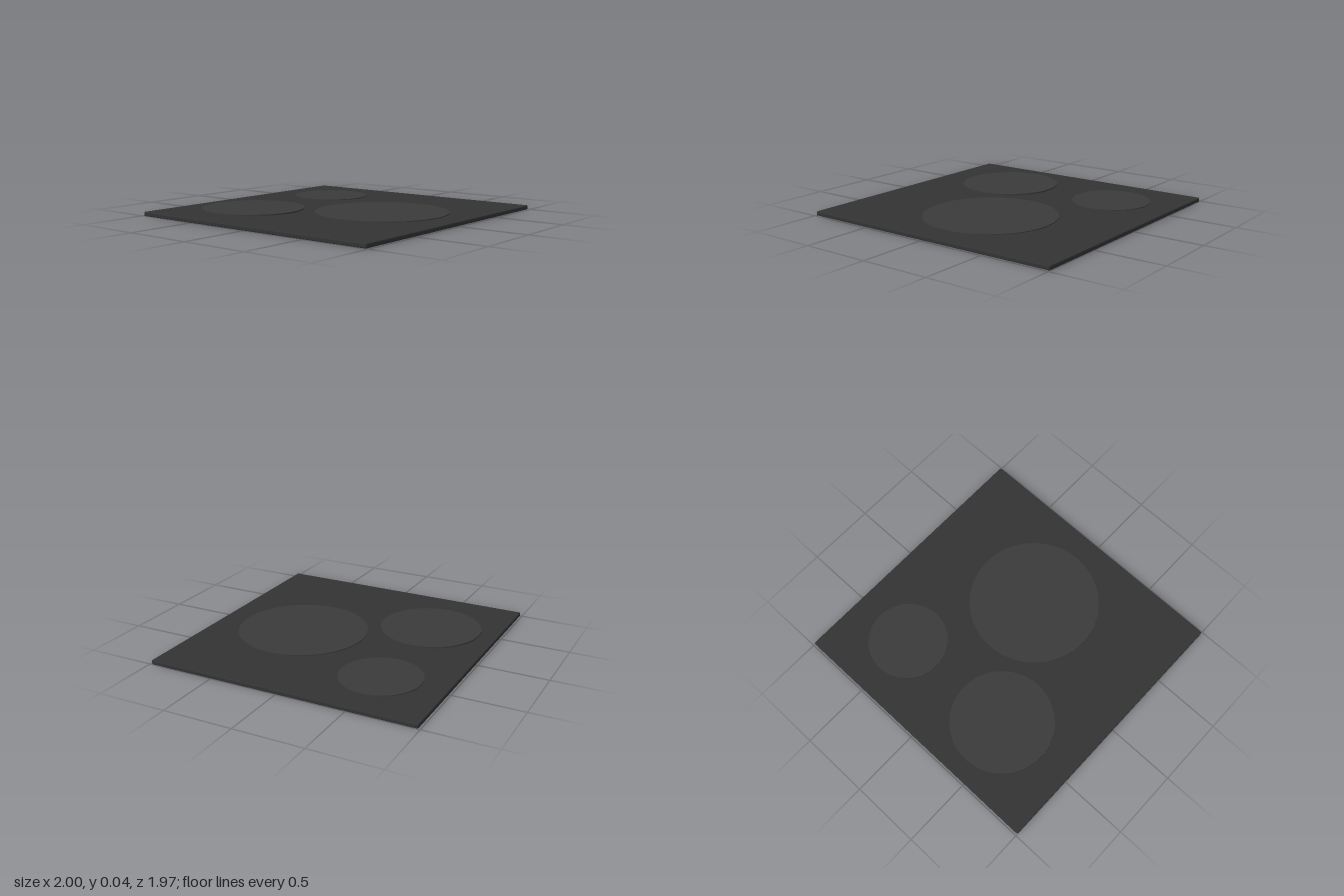
import * as THREE from 'three';

export function createModel() {
  const group = new THREE.Group();
  group.name = 'cooktop';
  const glass = new THREE.MeshStandardMaterial({ color: 0x333333 });
  const iron = new THREE.MeshStandardMaterial({ color: 0x3b3b3b });

  // thin base plate with small rounded corners and bevelled edges
  const hx = 1, hz = 0.987, height = 0.03, bevel = 0.006, r = 0.008;
  const x = hx - bevel, z = hz - bevel;
  const outline = new THREE.Shape();
  outline.absarc(x - r, z - r, r, 0, Math.PI / 2);
  outline.absarc(-x + r, z - r, r, Math.PI / 2, Math.PI);
  outline.absarc(-x + r, -z + r, r, Math.PI, Math.PI * 1.5);
  outline.absarc(x - r, -z + r, r, Math.PI * 1.5, Math.PI * 2);
  const plateGeometry = new THREE.ExtrudeGeometry(outline, {
    depth: height - 2 * bevel, bevelThickness: bevel, bevelSize: bevel, bevelSegments: 2, curveSegments: 4,
  });
  plateGeometry.rotateX(-Math.PI / 2).translate(0, bevel, 0);
  const plate = new THREE.Mesh(plateGeometry, glass);
  plate.name = 'basePlate';
  group.add(plate);

  // raised round hotplates: name, x, z, radius, top height
  const hotplates = [
    ['backRightHotplate', -0.397, -0.491, 0.369, 0.04],
    ['backLeftHotplate', 0.513, -0.513, 0.286, 0.036],
    ['frontHotplate', 0.052, 0.333, 0.474, 0.036],
  ];
  for (const [name, cx, cz, radius, top] of hotplates) {
    const bottom = height - 0.005;
    const disc = new THREE.Mesh(new THREE.CylinderGeometry(radius, radius, top - bottom, 96), iron);
    disc.position.set(cx, (top + bottom) / 2, cz);
    disc.name = name;
    group.add(disc);
  }
  return group;
}
